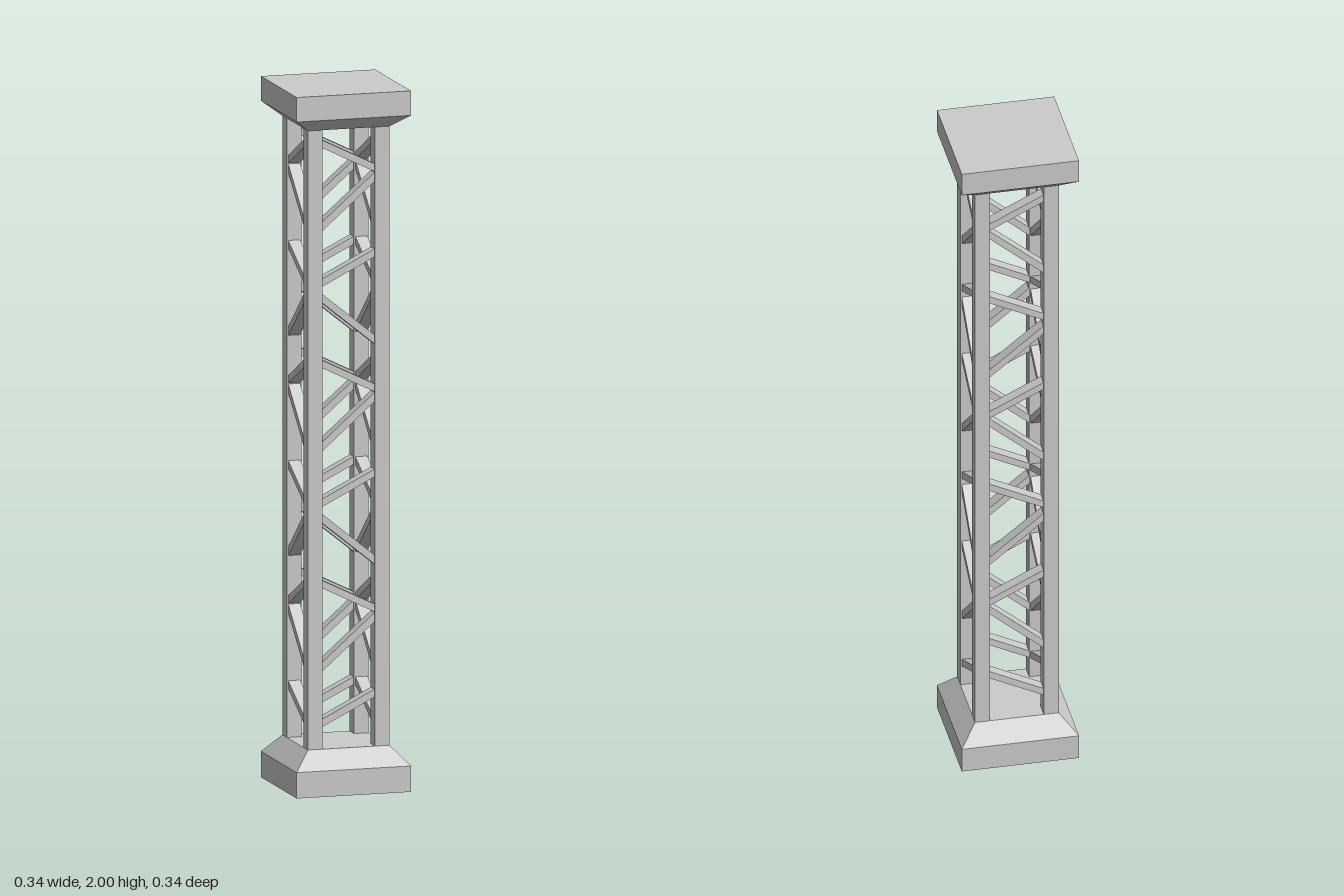
import * as THREE from 'three';

const material = new THREE.MeshStandardMaterial({ color: 0xcccccc, flatShading: true });

function addMesh(parent, geometry, name) {
  const mesh = new THREE.Mesh(geometry, material);
  mesh.name = name;
  parent.add(mesh);
  return mesh;
}

// Square slab or frustum with separate bottom and top half widths
function squareBlock(bottom, top, y0, y1) {
  const geometry = new THREE.CylinderGeometry(top * Math.SQRT2, bottom * Math.SQRT2, y1 - y0, 4);
  return geometry.rotateY(Math.PI / 4).translate(0, (y0 + y1) / 2, 0);
}

export function createModel() {
  const tower = new THREE.Group();
  tower.name = 'latticeColumn';

  const plate = 0.168, neck = 0.12;
  const baseTop = 0.127, capBottom = 1.893;

  // Base and cap, each a square slab with a sloped neck
  addMesh(tower, squareBlock(plate, plate, 0, 0.074), 'baseSlab');
  addMesh(tower, squareBlock(plate, neck, 0.074, baseTop), 'baseSlope');
  addMesh(tower, squareBlock(neck, plate, capBottom, 1.93), 'capSlope');
  addMesh(tower, squareBlock(plate, plate, 1.93, 2), 'capSlab');

  // Four corner posts
  const postWidth = 0.043, postCentre = neck - postWidth / 2;
  for (const x of [-1, 1]) {
    for (const z of [-1, 1]) {
      const post = addMesh(tower, new THREE.BoxGeometry(postWidth, capBottom - baseTop, postWidth), 'cornerPost');
      post.position.set(x * postCentre, (baseTop + capBottom) / 2, z * postCentre);
    }
  }

  // Diagonal braces: heights at the left and right post, repeating up the column
  const pattern = [[0.2, 0.278], [0.36, 0.495], [0.597, 0.52], [0.785, 0.658]];
  const period = 0.628, reach = 0.078;

  function bracePanel(name) {
    const panel = new THREE.Group();
    panel.name = name;
    for (let i = 0; i < 11; i++) {
      const lift = Math.floor(i / 4) * period;
      const [left, right] = pattern[i % 4];
      const rise = right - left;
      const length = Math.hypot(2 * reach, rise) + 0.016;
      const brace = addMesh(panel, new THREE.BoxGeometry(length, 0.02, 0.035), 'diagonalBrace');
      brace.position.y = (left + right) / 2 + lift;
      brace.rotation.z = Math.atan2(rise, 2 * reach);
    }
    tower.add(panel);
    return panel;
  }

  // Opposite panels line up with each other
  for (const side of [-1, 1]) {
    bracePanel(side > 0 ? 'frontBraces' : 'backBraces').position.z = side * postCentre;
    const panel = bracePanel(side > 0 ? 'leftBraces' : 'rightBraces');
    panel.rotation.y = Math.PI / 2;
    panel.position.x = side * postCentre;
  }

  return tower;
}
